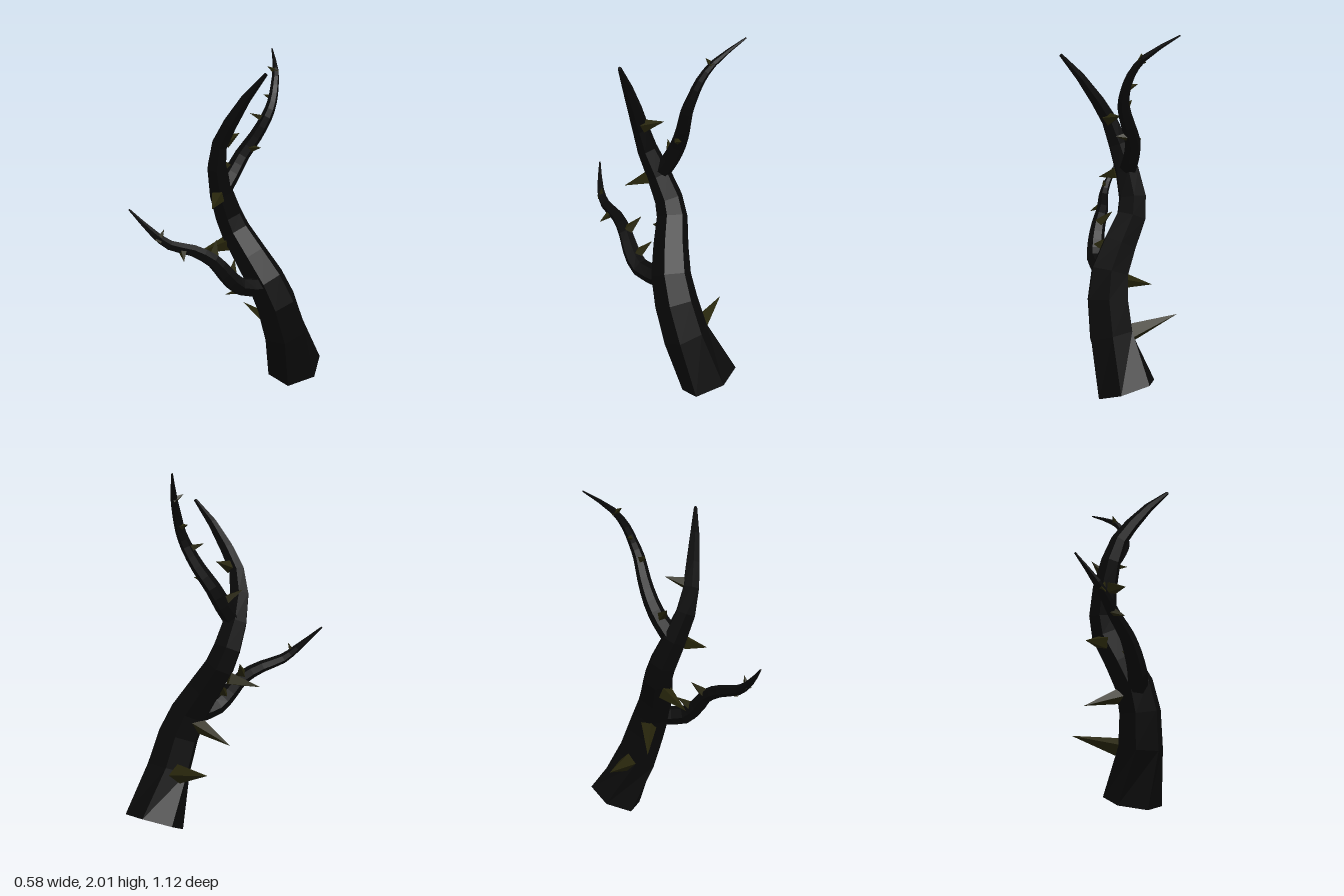
import * as THREE from 'three';

const bark = new THREE.MeshStandardMaterial({ color: 0x090909, flatShading: true });
bark.name = 'black bark';
const thornSkin = new THREE.MeshStandardMaterial({ color: 0x27250b, flatShading: true });
thornSkin.name = 'olive thorn';

// Adds a rounded in-between ring after each ring [x, y, z, radius]
function smoothRings(rings) {
  const curve = new THREE.CatmullRomCurve3(rings.map((r) => new THREE.Vector3(r[0], r[1], r[2])));
  const spans = rings.length - 1, out = [];
  for (let i = 0; i <= spans * 2; i++) {
    const p = curve.getPoint(i / (spans * 2));
    const a = rings[Math.floor(i / 2)], b = rings[Math.ceil(i / 2)];
    out.push([p.x, p.y, p.z, (a[3] + b[3]) / 2]);
  }
  return out;
}

// Six-sided limb swept through rings, turned by twist after the first, closed at both ends
function limb(name, rings, twist = 0) {
  const sides = 6;
  const pts = rings.map((r) => new THREE.Vector3(r[0], r[1], r[2]));
  const pos = [], idx = [];
  const u = new THREE.Vector3(1, 0, 0);
  pts.forEach((p, i) => {
    const next = pts[Math.min(i + 1, pts.length - 1)];
    const prev = pts[Math.max(i - 1, 0)];
    const t = next.clone().sub(prev).normalize();
    u.addScaledVector(t, -u.dot(t)).normalize();
    const v = t.clone().cross(u);
    for (let k = 0; k < sides; k++) {
      const a = (k / sides) * Math.PI * 2 + (i > 0 ? twist : 0);
      const q = p.clone()
        .addScaledVector(u, Math.cos(a) * rings[i][3])
        .addScaledVector(v, Math.sin(a) * rings[i][3]);
      pos.push(q.x, q.y, q.z);
    }
  });
  for (let i = 0; i < rings.length - 1; i++) {
    for (let k = 0; k < sides; k++) {
      const a = i * sides + k, b = i * sides + (k + 1) % sides;
      idx.push(a, b, b + sides, a, b + sides, a + sides);
    }
  }
  const last = (rings.length - 1) * sides;
  for (let k = 1; k < sides - 1; k++) {
    idx.push(0, k + 1, k, last, last + k, last + k + 1);
  }
  const geo = new THREE.BufferGeometry();
  geo.setAttribute('position', new THREE.Float32BufferAttribute(pos, 3));
  geo.setIndex(idx);
  geo.computeVertexNormals();
  const mesh = new THREE.Mesh(geo, bark);
  mesh.name = name;
  return mesh;
}

// Four-sided spike from a base point to a tip
function thorn(base, tip, radius) {
  const a = new THREE.Vector3(...base), b = new THREE.Vector3(...tip);
  const dir = b.clone().sub(a);
  const length = dir.length();
  const geo = new THREE.ConeGeometry(radius, length, 4);
  geo.translate(0, length / 2, 0);
  const mesh = new THREE.Mesh(geo, thornSkin);
  mesh.position.copy(a);
  mesh.quaternion.setFromUnitVectors(new THREE.Vector3(0, 1, 0), dir.normalize());
  mesh.name = 'thorn';
  return mesh;
}

export function createModel() {
  const model = new THREE.Group();
  model.name = 'thornyBranch';

  // Main stem, leaning forward and curling to its tip
  model.add(limb('mainStem', [
    [0.06, 0.07, -0.42, 0.17], [0.108, 0.35, -0.287, 0.134],
    [0.105, 0.54, -0.22, 0.125], [0.073, 0.68, -0.165, 0.115],
    [-0.005, 0.82, -0.115, 0.102], [-0.09, 0.96, -0.07, 0.09],
    [-0.11, 1.06, -0.032, 0.083], [-0.1, 1.2, 0.03, 0.072],
    [-0.065, 1.35, 0.085, 0.059], [-0.02, 1.48, 0.1, 0.048],
    [0.055, 1.6, 0.085, 0.041], [0.16, 1.74, 0.06, 0.028], [0.28, 1.87, 0.025, 0.01],
  ], 0.28));

  // Upper twig, sweeping up and backward
  model.add(limb('upperTwig', smoothRings([
    [-0.1, 1.2, 0.03, 0.056], [-0.095, 1.3, -0.05, 0.049], [-0.08, 1.4, -0.11, 0.044],
    [-0.03, 1.51, -0.17, 0.038], [0.013, 1.62, -0.215, 0.033], [0.018, 1.7, -0.25, 0.028],
    [0, 1.79, -0.285, 0.024], [-0.05, 1.88, -0.335, 0.018], [-0.2, 1.998, -0.44, 0.004],
  ])));

  // Lower twig, reaching forward
  model.add(limb('lowerTwig', smoothRings([
    [0.09, 0.65, -0.12, 0.058], [0.085, 0.68, 0.04, 0.055], [0.06, 0.76, 0.12, 0.049],
    [0.025, 0.84, 0.18, 0.042], [-0.035, 0.905, 0.28, 0.035], [-0.08, 0.945, 0.4, 0.029],
    [-0.13, 1.01, 0.47, 0.022], [-0.245, 1.14, 0.555, 0.005],
  ])));

  // Thorns: base, tip, base radius
  const thorns = [
    [[0, 0.35, -0.3], [-0.29, 0.42, -0.295], 0.058],
    [[0.02, 0.625, -0.17], [-0.215, 0.53, -0.09], 0.052],
    [[-0.11, 0.885, -0.02], [-0.2, 0.83, 0.135], 0.046],
    [[-0.06, 1.18, 0.08], [0.02, 1.135, 0.185], 0.042],
    [[-0.11, 1.33, -0.04], [-0.18, 1.39, 0.02], 0.032],
    [[0, 1.5, 0.07], [-0.03, 1.535, -0.05], 0.038],
    [[0, 1.61, -0.2], [-0.06, 1.64, -0.15], 0.026],
    [[0.01, 1.725, -0.26], [-0.055, 1.74, -0.25], 0.022],
    [[-0.04, 1.865, -0.335], [-0.06, 1.9, -0.28], 0.023],
    [[-0.05, 1.44, -0.135], [0.035, 1.45, -0.155], 0.03],
    [[0.02, 0.86, 0.17], [-0.04, 0.94, 0.11], 0.034],
    [[0.07, 0.74, 0.08], [0, 0.82, 0.01], 0.036],
    [[-0.05, 0.91, 0.335], [0.015, 0.865, 0.375], 0.026],
    [[-0.11, 0.97, 0.455], [-0.09, 1.04, 0.43], 0.026],
  ];
  thorns.forEach((t) => model.add(thorn(...t)));
  return model;
}
